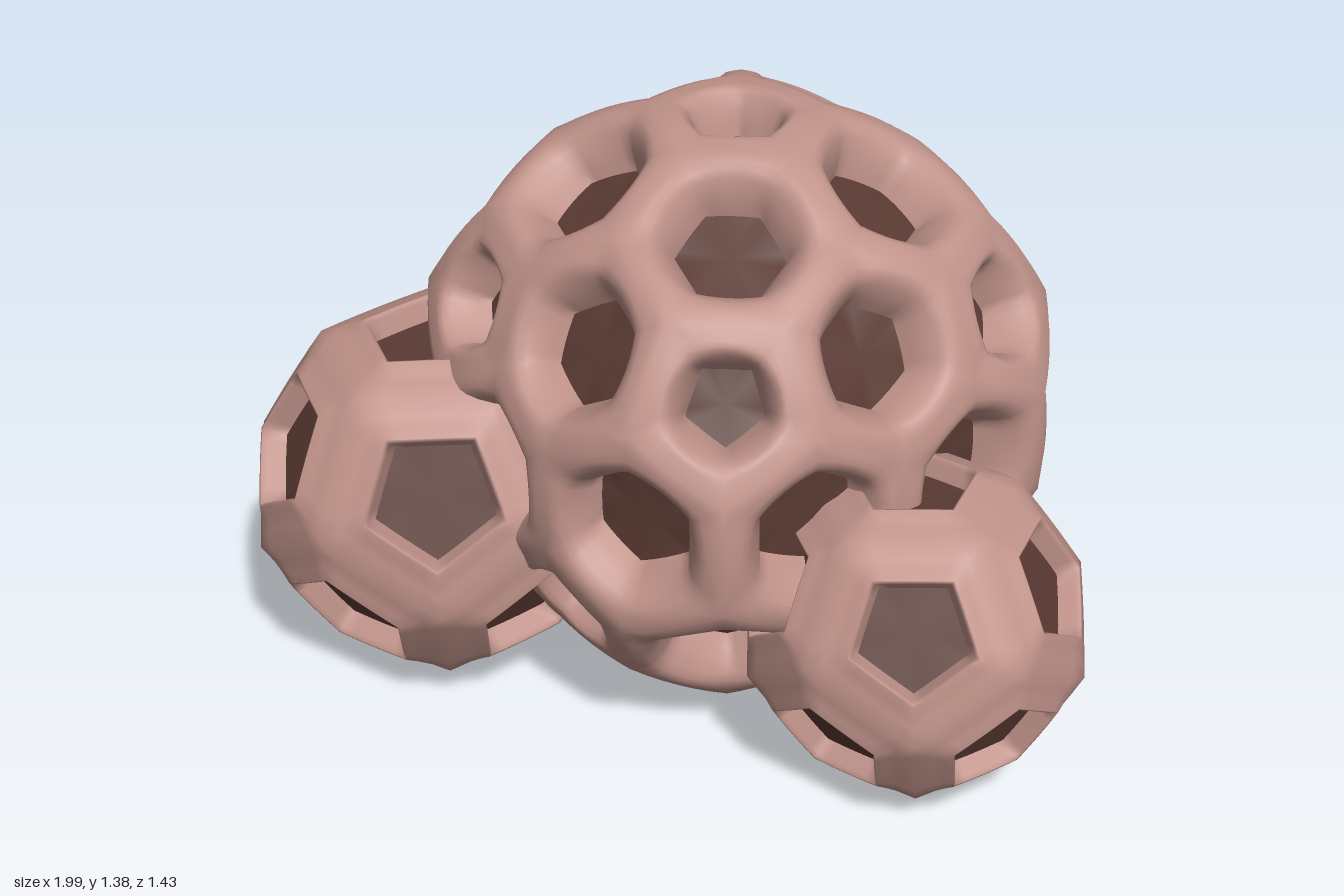
import * as THREE from 'three';
import { mergeVertices } from 'three/addons/utils/BufferGeometryUtils.js';

const shellMat = new THREE.MeshStandardMaterial({ color: 0xc0938a });
shellMat.name = 'dusty pink shell';
const coreMat = new THREE.MeshStandardMaterial({ color: 0x5a3a33 });
coreMat.name = 'dark brown hollow';

const V = (x, y, z) => new THREE.Vector3(x, y, z);

// The twelve icosahedron directions, pole first
function icoDirections() {
  const out = [V(0, 1, 0)];
  for (const [y, shift] of [[0.4472, 0], [-0.4472, 36]]) {
    for (let k = 0; k < 5; k++) {
      const a = THREE.MathUtils.degToRad(72 * k + shift);
      out.push(V(0.8944 * Math.cos(a), y, 0.8944 * Math.sin(a)));
    }
  }
  out.push(V(0, -1, 0));
  return out;
}

// Corners of the cell round one face direction, counter-clockwise from outside
function cellCorners(face, faces, minDot, radiusAt) {
  const near = faces.filter(f => f !== face && f.dir.dot(face.dir) > minDot);
  const u = V(0.31, 0.17, 0.93).cross(face.dir).normalize();
  const w = face.dir.clone().cross(u);
  const angle = f => Math.atan2(f.dir.dot(w), f.dir.dot(u));
  near.sort((a, b) => angle(a) - angle(b));
  return near.map((a, i) => {
    const corner = V(0, 0, 0);
    for (const f of [face, a, near[(i + 1) % near.length]]) corner.addScaledVector(f.dir, f.weight);
    corner.normalize();
    return corner.multiplyScalar(radiusAt(corner));
  });
}

// A pierced cage: every cell is lofted from its outline down to a dark floor
function makeCage(name, faces, opt) {
  const shell = [], floor = [];
  const steps = 6;
  const push = (list, ...pts) => pts.forEach(p => list.push(p.x, p.y, p.z));
  for (const face of faces) {
    const corners = cellCorners(face, faces, opt.minDot, opt.radiusAt);
    const n = corners.length;
    const centre = V(0, 0, 0);
    corners.forEach(c => centre.addScaledVector(c, 1 / n));
    // each side lies between a straight line (bulge 0) and an arc (bulge 1)
    const edge = [];
    corners.forEach((c, i) => {
      const d = corners[(i + 1) % n];
      for (let k = 0; k < steps; k++) {
        const t = k / steps;
        const full = c.length() * (1 - t) + d.length() * t;
        const p = c.clone().lerp(d, t);
        edge.push(p.setLength(THREE.MathUtils.lerp(p.length(), full, opt.bulge)));
      }
    });
    const arms = edge.map(p => p.clone().sub(centre));
    const mean = arms.reduce((s, a) => s + a.length(), 0) / arms.length;
    const shrink = n === 5 ? opt.pentScale : 1;
    // profile rows: scale, depth, roundness
    const rings = opt.profile.map(([s, depth, round]) => arms.map(a => {
      const scale = s === 1 ? 1 : s * shrink;
      const k = scale * (1 + (mean / a.length() - 1) * round);
      return centre.clone().addScaledVector(a, k).multiplyScalar(1 - depth);
    }));
    const m = edge.length;
    for (let r = 0; r + 1 < rings.length; r++) {
      const A = rings[r], B = rings[r + 1];
      for (let i = 0; i < m; i++) {
        const j = (i + 1) % m;
        push(shell, A[i], A[j], B[i], A[j], B[j], B[i]);
      }
    }
    const last = rings[rings.length - 1];
    const mid = V(0, 0, 0);
    last.forEach(p => mid.addScaledVector(p, 1 / m));
    for (let i = 0; i < m; i++) push(floor, last[i], last[(i + 1) % m], mid);
  }
  const toMesh = (list, mat, label) => {
    let g = new THREE.BufferGeometry();
    g.setAttribute('position', new THREE.Float32BufferAttribute(list, 3));
    g = mergeVertices(g, 1e-4);
    g.computeVertexNormals();
    const mesh = new THREE.Mesh(g, mat);
    mesh.name = label;
    return mesh;
  };
  const group = new THREE.Group();
  group.name = name;
  group.add(toMesh(shell, shellMat, name + 'Shell'));
  group.add(toMesh(floor, coreMat, name + 'Hollows'));
  return group;
}

// Rotation frame from three neighbouring face directions
function frame(a, b, c) {
  const z = a.clone().add(b).add(c).normalize();
  const x = a.clone().addScaledVector(z, -a.dot(z)).normalize();
  return new THREE.Matrix4().makeBasis(x, z.clone().cross(x), z);
}

// Small twelve-hole cage, broad flat struts with raised rims round the holes,
// turned so that three of its faces meet given directions
function smallCage(name, radius, position, targets) {
  const dirs = icoDirections();
  const faces = dirs.map(dir => ({ dir, weight: 1 }));
  const cage = makeCage(name, faces, {
    minDot: 0.4, bulge: 0.1, pentScale: 1, radiusAt: () => radius,
    profile: [[1, 0, 0], [0.8, -0.04, 0], [0.65, -0.085, 0], [0.55, -0.122, 0],
      [0.53, -0.12, 0], [0.525, -0.09, 0], [0.53, 0.03, 0]],
  });
  const turn = frame(...targets).multiply(frame(dirs[0], dirs[1], dirs[2]).transpose());
  cage.quaternion.setFromRotationMatrix(turn);
  cage.position.copy(position);
  return cage;
}

// Large cage: twelve five-sided and thirty six-sided holes, slightly four-lobed
function largeCage() {
  const dirs = icoDirections();
  const faces = dirs.map(dir => ({ dir, weight: 1.1 }));
  dirs.forEach((a, i) => dirs.slice(i + 1).forEach(b => {
    if (a.dot(b) > 0.4) faces.push({ dir: a.clone().add(b).normalize(), weight: 1 });
  }));
  const radiusAt = d => {
    const az = Math.atan2(d.z, d.x);
    const flat = d.x * d.x + d.z * d.z;
    return 0.703 + 0.05 * flat * Math.cos(4 * (az + 0.2));
  };
  const cage = makeCage('largeCage', faces, {
    minDot: 0.75, bulge: 0.75, pentScale: 0.87, radiusAt,
    profile: [[1, 0, 0], [0.9, -0.007, 0.3], [0.81, -0.011, 0.6], [0.74, -0.004, 0.8],
      [0.68, 0.016, 0.75], [0.625, 0.055, 0.5], [0.59, 0.095, 0.2], [0.565, 0.14, 0]],
  });
  cage.position.set(0.075, 0.68, -0.01);
  return cage;
}

export function createModel() {
  const model = new THREE.Group();
  model.name = 'cageCluster';
  model.add(largeCage());
  model.add(smallCage('rightCage', 0.45, V(-0.54, 0.45, 0.28),
    [V(0.12, 0.15, 0.286), V(-0.07, -0.16, 0.298), V(-0.23, 0.15, 0.209)]));
  model.add(smallCage('leftCage', 0.392, V(0.625, 0.38, 0.34),
    [V(0.07, 0.14, 0.26), V(0.23, -0.13, 0.165), V(-0.09, -0.11, 0.27)]));
  return model;
}
